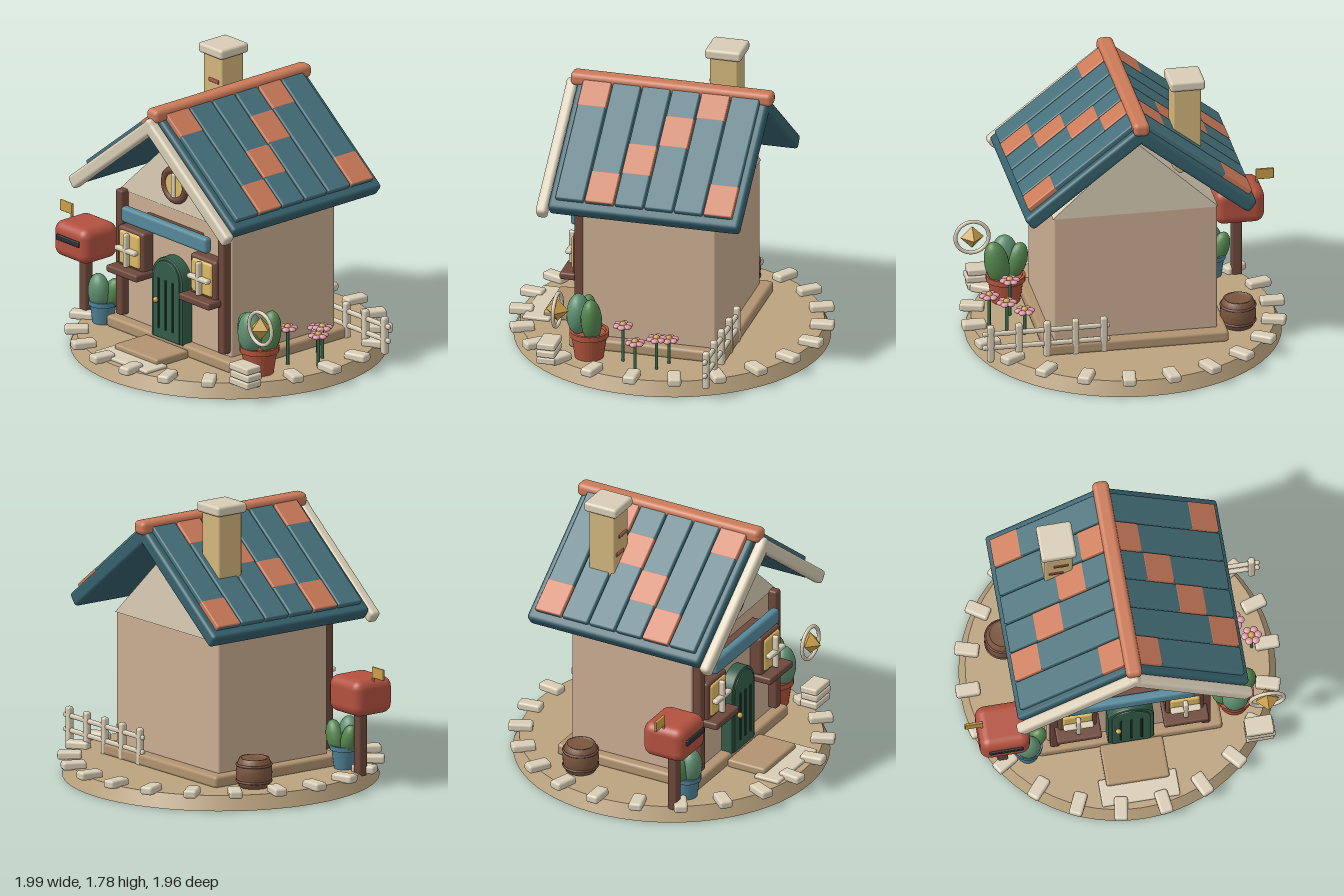
import * as THREE from 'three';
import { RoundedBoxGeometry } from 'three/addons/geometries/RoundedBoxGeometry.js';

const C = {
  ground: 0xbaa37e, stone: 0xd8cdb6, plinth: 0xb0936f, wall: 0xcaad92, gable: 0xd9cdb5,
  wood: 0x6d483b, slab: 0x35606b, tile: 0x46707a, orange: 0xca7a58, sign: 0x55889a,
  glass: 0xdcb964, green: 0x345c48, darkGreen: 0x1f3d30, gold: 0xc99f4a, chimney: 0xd2b67c,
  brick: 0xb05a42, red: 0xb3513f, dark: 0x2b2f30, bluePot: 0x4f8296, redPot: 0xb0533c,
  leafA: 0x5f8f70, leafB: 0x55864f, petal: 0xdc9aa6, stem: 0x3c6b4a, barrel: 0x79553e,
};
const mats = {};
const mat = (c) => (mats[c] ??= new THREE.MeshStandardMaterial({ color: c }));

function add(parent, name, geo, color, x = 0, y = 0, z = 0) {
  const m = new THREE.Mesh(geo, mat(color));
  m.name = name;
  m.position.set(x, y, z);
  parent.add(m);
  return m;
}
function box(parent, name, color, w, h, d, x, y, z, r = 0.012) {
  return add(parent, name, new RoundedBoxGeometry(w, h, d, 2, Math.min(r, w * 0.45, h * 0.45, d * 0.45)), color, x, y, z);
}
function group(parent, name, x = 0, y = 0, z = 0) {
  const g = new THREE.Group();
  g.name = name;
  g.position.set(x, y, z);
  parent.add(g);
  return g;
}
const cyl = (rt, rb, h, n = 32) => new THREE.CylinderGeometry(rt, rb, h, n);

function buildGround(root) {
  add(root, 'groundDisc', cyl(0.915, 0.955, 0.088, 64), C.ground, 0, 0.044, -0.003);
  const ring = group(root, 'edgeStones');
  for (let i = 0; i < 22; i++) {
    const a = (i / 22) * Math.PI * 2;
    box(ring, 'edgeStone', C.stone, 0.148, 0.052, 0.082, 0.912 * Math.cos(a), 0.104, -0.912 * Math.sin(a), 0.016).rotation.y = a;
  }
  box(root, 'plinth', C.plinth, 1.12, 0.075, 0.97, 0, 0.12, 0.005, 0.02);
  box(root, 'doorStep', C.plinth, 0.385, 0.055, 0.26, 0, 0.11, 0.62, 0.015);
  box(root, 'pathSlab', C.stone, 0.475, 0.025, 0.17, 0, 0.095, 0.785, 0.01);
}

function buildHouse(root) {
  const house = group(root, 'house');
  box(house, 'walls', C.wall, 1.0, 0.82, 0.83, 0, 0.56, 0.005);
  const tri = new THREE.Shape([[-0.505, 0.965], [0.505, 0.965], [0, 1.435]].map((p) => new THREE.Vector2(...p)));
  add(house, 'gable', new THREE.ExtrudeGeometry(tri, { depth: 0.84, bevelEnabled: false }), C.gable, 0, 0, -0.415);
  for (const s of [-1, 1]) box(house, 'cornerPost', C.wood, 0.058, 0.8, 0.062, s * 0.46, 0.58, 0.445);
  box(house, 'signBoard', C.sign, 0.77, 0.1, 0.055, 0, 0.86, 0.502, 0.02);
  box(house, 'signBacking', C.wood, 0.5, 0.05, 0.08, 0, 0.86, 0.45);

  // round gable window
  const round = group(house, 'roundWindow', 0, 1.127, 0.43);
  add(round, 'frame', new THREE.TorusGeometry(0.095, 0.023, 12, 40), C.wood);
  add(round, 'glass', cyl(0.09, 0.09, 0.02, 32), C.glass).rotation.x = Math.PI / 2;
  box(round, 'glazingBar', C.stone, 0.034, 0.155, 0.025, 0, 0, 0.012);

  // square windows with sills
  for (const s of [-1, 1]) {
    const win = group(house, 'window', s * 0.327, 0.64, 0.42);
    box(win, 'frame', C.wood, 0.235, 0.26, 0.1, 0, 0, 0.03, 0.02);
    box(win, 'glass', C.glass, 0.185, 0.215, 0.04, 0, 0.003, 0.075, 0.025);
    box(win, 'verticalBar', C.stone, 0.03, 0.215, 0.04, 0, 0.003, 0.112);
    box(win, 'horizontalBar', C.stone, 0.185, 0.03, 0.04, 0, 0.003, 0.112);
    box(win, 'sill', C.wood, 0.275, 0.045, 0.16, 0, -0.137, 0.075);
  }

  // arched door
  const door = group(house, 'door', 0, 0.155, 0.415);
  const arch = (r) => {
    const sh = new THREE.Shape();
    sh.moveTo(-r, 0);
    sh.lineTo(r, 0);
    sh.lineTo(r, 0.38);
    sh.absarc(0, 0.38, r, 0, Math.PI, false);
    return sh;
  };
  const bevel = { bevelThickness: 0.01, bevelSize: 0.008, bevelSegments: 2, curveSegments: 20 };
  add(door, 'doorFrame', new THREE.ExtrudeGeometry(arch(0.132), { depth: 0.07, ...bevel }), C.green);
  add(door, 'doorPanel', new THREE.ExtrudeGeometry(arch(0.11), { depth: 0.08, ...bevel }), C.green, 0, 0.004, 0);
  for (const x of [-0.063, 0, 0.063]) box(door, 'groove', C.darkGreen, 0.013, 0.32, 0.02, x, 0.22, 0.088, 0.004);
  add(door, 'knob', new THREE.SphereGeometry(0.018, 16, 12), C.gold, -0.08, 0.237, 0.1);
}

function buildRoof(root) {
  const roof = group(root, 'roof');
  for (const s of [-1, 1]) {
    const side = group(roof, 'roofSide', 0, 1.62, 0);
    side.rotation.z = -s * THREE.MathUtils.degToRad(38);
    box(side, 'roofSlab', C.slab, 0.905, 0.09, 1.19, s * 0.4525, -0.045, -0.012, 0.022);
    for (let i = 0; i < 6; i++) {
      const z = -0.472 + i * 0.185;
      box(side, 'roofPlank', C.tile, 0.84, 0.045, 0.175, s * 0.43, 0.008, z, 0.01);
      const seg = (i + 3) % 4;
      box(side, 'orangeTile', C.orange, 0.212, 0.048, 0.177, s * (0.106 + seg * 0.2125), 0.008, z, 0.008);
    }
    box(side, 'bargeBoard', C.stone, 0.935, 0.085, 0.068, s * 0.4675, -0.057, 0.623, 0.022);
  }
  box(roof, 'ridgeBeam', C.orange, 0.1, 0.085, 1.26, 0, 1.613, -0.005, 0.03);

  const ch = group(roof, 'chimney', -0.33, 0, -0.253);
  box(ch, 'stack', C.chimney, 0.17, 0.57, 0.175, 0, 1.455, 0, 0.01);
  box(ch, 'cap', C.stone, 0.215, 0.063, 0.225, 0, 1.752, 0, 0.018);
  box(ch, 'brick', C.brick, 0.09, 0.024, 0.02, 0.015, 1.563, 0.085, 0.005);
  box(ch, 'brick', C.brick, 0.09, 0.024, 0.02, -0.015, 1.45, 0.085, 0.005);
}

function buildMailbox(root) {
  const g = group(root, 'mailbox', -0.778, 0, 0.455);
  box(g, 'post', C.wood, 0.062, 0.42, 0.062, 0, 0.28, 0);
  g.add(new THREE.Mesh(new RoundedBoxGeometry(0.305, 0.225, 0.285, 5, 0.06), mat(C.red)));
  g.children[1].name = 'body';
  g.children[1].position.y = 0.578;
  box(g, 'slot', C.dark, 0.205, 0.036, 0.02, 0, 0.598, 0.144, 0.006);
  box(g, 'flagPole', C.gold, 0.014, 0.13, 0.014, -0.125, 0.7, 0, 0.004);
  box(g, 'flag', C.gold, 0.112, 0.068, 0.016, -0.174, 0.732, 0, 0.005);
}

// pot with overlapping leaf lobes: [x, y, z, half width, half height, tilt about z, colour]
function buildPlant(root, name, x, z, r, h, potColor, lobes) {
  const g = group(root, name, x, 0.085, z);
  const pts = [[0, 0], [r * 0.72, 0], [r * 0.9, h * 0.8], [r, h * 0.8], [r, h], [r * 0.85, h], [r * 0.8, h * 0.9], [0, h * 0.9]];
  const pot = add(g, 'pot', new THREE.LatheGeometry(pts.map((p) => new THREE.Vector2(...p)), 28).toNonIndexed(), potColor);
  pot.geometry.computeVertexNormals();
  for (const [lx, ly, lz, w, hh, tilt, c] of lobes) {
    const m = add(g, 'leaf', new THREE.SphereGeometry(1, 20, 14), c, lx, ly, lz);
    m.scale.set(w, hh, w * 0.85);
    m.rotation.z = tilt;
  }
}

function buildGarden(root) {
  buildPlant(root, 'bluePotPlant', -0.623, 0.455, 0.088, 0.145, C.bluePot, [
    [0, 0.21, 0.035, 0.072, 0.11, 0, C.leafA],
    [-0.055, 0.185, -0.01, 0.055, 0.1, 0.3, C.leafB],
    [0.055, 0.19, -0.03, 0.06, 0.105, -0.3, C.leafB],
  ]);
  buildPlant(root, 'redPotPlant', 0.655, 0.335, 0.12, 0.175, C.redPot, [
    [-0.005, 0.27, 0.07, 0.083, 0.13, 0, C.leafA],
    [-0.07, 0.245, 0.03, 0.065, 0.12, 0.3, C.leafB],
    [0.06, 0.265, -0.03, 0.075, 0.145, -0.2, C.leafB],
  ]);

  // flowers: [x, head height, z]
  for (const [x, y, z] of [[0.67, 0.32, 0.12], [0.817, 0.285, 0.005], [0.73, 0.285, -0.105], [0.63, 0.245, -0.155]]) {
    const f = group(root, 'flower', x, 0, z);
    add(f, 'stem', cyl(0.01, 0.01, y - 0.08, 8), C.stem, 0, (y + 0.08) / 2, 0);
    add(f, 'centre', new THREE.SphereGeometry(0.022, 12, 8), C.gold, 0, y + 0.005, 0);
    for (let i = 0; i < 6; i++) {
      const a = (i * Math.PI) / 3;
      add(f, 'petal', new THREE.SphereGeometry(0.024, 12, 8), C.petal, 0.039 * Math.cos(a), y, 0.039 * Math.sin(a)).scale.y = 0.6;
    }
  }

  // slab stack and hoop ornament
  for (let i = 0; i < 3; i++) box(root, 'stackedSlab', C.stone, 0.17, 0.042, 0.115, 0.77 + (i % 2) * 0.008, 0.11 + i * 0.046, 0.553, 0.01);
  const hoop = group(root, 'hoopOrnament', 0.832, 0.45, 0.485);
  add(hoop, 'hoop', new THREE.TorusGeometry(0.102, 0.012, 10, 40), C.stone);
  add(hoop, 'gem', new THREE.OctahedronGeometry(0.072), C.gold);

  // fence behind the house
  const fence = group(root, 'fence', 0, 0, -0.46);
  for (let i = 0; i < 5; i++) box(fence, 'fencePost', C.stone, 0.042, 0.24, 0.042, 0.895 - i * 0.173, 0.192, 0, 0.014);
  for (const y of [0.165, 0.255]) box(fence, 'fenceRail', C.stone, 0.78, 0.03, 0.028, 0.555, y, 0);

  // barrel
  const barrel = group(root, 'barrel', -0.655, 0.085, -0.26);
  const prof = [[0, 0], [0.09, 0], [0.105, 0.04], [0.11, 0.09], [0.105, 0.14], [0.09, 0.18], [0.078, 0.18], [0.078, 0.17], [0, 0.17]];
  add(barrel, 'staves', new THREE.LatheGeometry(prof.map((p) => new THREE.Vector2(...p)), 24), C.barrel);
  for (const y of [0.04, 0.14]) add(barrel, 'band', new THREE.TorusGeometry(0.104, 0.008, 8, 28), C.wood, 0, y, 0).rotation.x = Math.PI / 2;
}

export function createModel() {
  const model = new THREE.Group();
  model.name = 'cottage';
  const root = group(model, 'cottageParts', 0.01, 0, 0);
  for (const build of [buildGround, buildHouse, buildRoof, buildMailbox, buildGarden]) build(root);
  return model;
}
